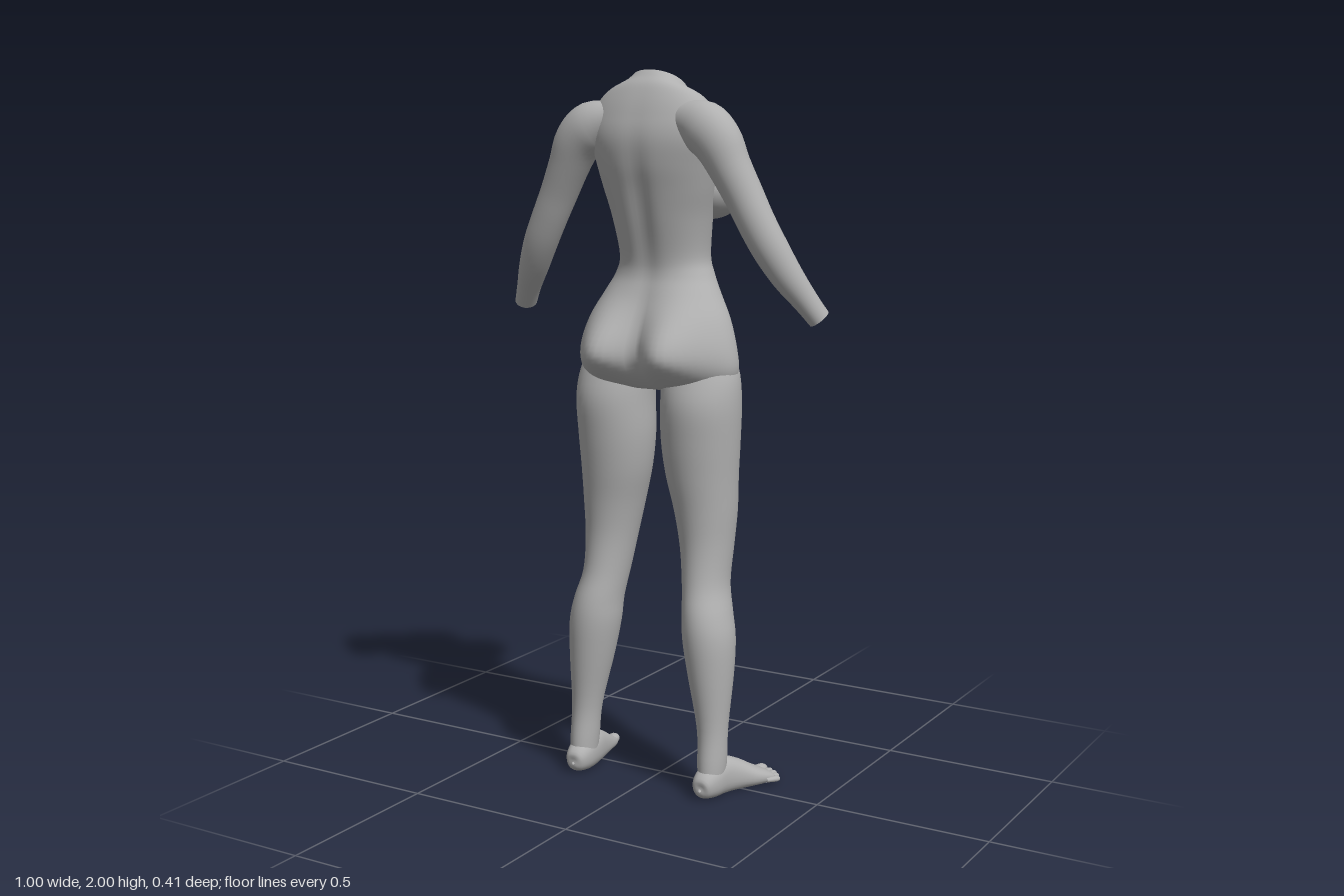
import * as THREE from 'three';

const skin = new THREE.MeshStandardMaterial({ color: 0xb0b0b0, side: THREE.DoubleSide });
skin.name = 'plain grey';

// Smooth interpolation through rows of numbers
function smoothRows(rows, steps) {
  const out = [];
  const at = i => rows[Math.max(0, Math.min(rows.length - 1, i))];
  for (let i = 0; i < rows.length - 1; i++) {
    for (let k = 0; k < steps; k++) {
      const t = k / steps;
      out.push(rows[i].map((_, c) => {
        const p = at(i - 1)[c], a = at(i)[c], b = at(i + 1)[c], q = at(i + 2)[c];
        return a + 0.5 * t * (b - p + t * (2 * p - 5 * a + 4 * b - q + t * (3 * (a - b) + q - p)));
      }));
    }
  }
  out.push(rows[rows.length - 1]);
  return out;
}

// Rows are [x, y, z, radiusU, radiusV]; rings stand across the path
function loft(name, rows, { ref = [0, 0, 1], axis, power = 2, sides = 32, steps = 4, cap = false, warp } = {}) {
  const rings = smoothRows(rows, steps);
  const centre = rings.map(r => new THREE.Vector3(r[0], r[1], r[2]));
  const up = new THREE.Vector3(...ref);
  const pos = [], index = [];
  const bend = v => Math.sign(v) * Math.abs(v) ** (2 / power);
  rings.forEach((r, i) => {
    const T = axis ? new THREE.Vector3(...axis)
      : centre[Math.min(i + 1, rings.length - 1)].clone().sub(centre[Math.max(i - 1, 0)]).normalize();
    const U = T.clone().cross(up).normalize();
    const V = U.clone().cross(T);
    for (let j = 0; j < sides; j++) {
      const a = (j / sides) * Math.PI * 2;
      const p = centre[i].clone()
        .addScaledVector(U, r[3] * bend(Math.cos(a)))
        .addScaledVector(V, r[4] * bend(Math.sin(a)));
      if (warp) warp(p);
      pos.push(p.x, p.y, p.z);
      if (i < rings.length - 1) {
        const n = i * sides + (j + 1) % sides, m = i * sides + j;
        index.push(m, m + sides, n, n, m + sides, n + sides);
      }
    }
  });
  if (cap) {
    const e = (rings.length - 1) * sides;
    const c = centre[centre.length - 1].clone();
    if (warp) warp(c);
    pos.push(c.x, c.y, c.z);
    for (let j = 0; j < sides; j++) index.push(e + j, pos.length / 3 - 1, e + (j + 1) % sides);
  }
  const g = new THREE.BufferGeometry();
  g.setAttribute('position', new THREE.Float32BufferAttribute(pos, 3));
  g.setIndex(index);
  g.computeVertexNormals();
  return named(name, g);
}

function named(name, geometry) {
  const m = new THREE.Mesh(geometry, skin);
  m.name = name;
  return m;
}

const bell = (v, width) => Math.exp(-0.5 * (v / width) ** 2);

// Torso: height, half width, back z, front z
function torso() {
  const rows = [
    [1.965, 0.076, 0.07, -0.055], [1.945, 0.095, 0.085, -0.05], [1.92, 0.15, 0.11, -0.045],
    [1.88, 0.185, 0.135, -0.05], [1.82, 0.19, 0.148, -0.065], [1.75, 0.175, 0.143, -0.085],
    [1.68, 0.16, 0.128, -0.1], [1.6, 0.142, 0.11, -0.12], [1.5, 0.13, 0.085, -0.125],
    [1.45, 0.145, 0.08, -0.12], [1.4, 0.173, 0.09, -0.108], [1.33, 0.212, 0.105, -0.098],
    [1.25, 0.238, 0.115, -0.09], [1.19, 0.242, 0.11, -0.088], [1.155, 0.215, 0.09, -0.075],
    [1.135, 0.12, 0.06, -0.05], [1.13, 0.01, 0.01, 0],
  ].map(([y, w, b, f]) => [0, y, (b + f) / 2, w, (b - f) / 2]);
  return loft('torso', rows, {
    axis: [0, -1, 0], power: 2.15, sides: 72, steps: 5, cap: true,
    warp(p) {
      const back = THREE.MathUtils.smoothstep(p.z, -0.02, 0.08);
      // rounded seat with a central cleft, and the groove of the spine
      const y = p.y, dy = y - 1.235;
      const seat = 0.1 * bell(Math.abs(p.x) - 0.105, 0.065) * bell(dy, dy > 0 ? 0.085 : 0.055);
      const spine = 0.012 * bell(p.x, 0.022) * bell(y - 1.62, 0.13);
      // neck edge slopes down to the front
      p.y += (p.z - 0.0075) * 0.56 * THREE.MathUtils.smoothstep(y, 1.87, 1.965);
      p.z += back * (seat - spine);
    },
  });
}

// Chest form: a sphere drawn out upward into the collar
function breast(s) {
  const g = new THREE.SphereGeometry(1, 40, 30);
  const p = g.attributes.position;
  for (let i = 0; i < p.count; i++) {
    const t = Math.max(0, p.getY(i));
    p.setXYZ(i,
      s * 0.1 + p.getX(i) * 0.09 * (1 - 0.3 * t),
      1.685 + p.getY(i) * (t > 0 ? 0.165 : 0.088),
      -0.1 + p.getZ(i) * 0.106 * (1 - 0.7 * t * t));
  }
  g.computeVertexNormals();
  return named('breast', g);
}

function arm(s) {
  return loft('arm', [
    [0.1, 1.872, 0.07, 0.045, 0.045], [0.17, 1.85, 0.076, 0.07, 0.064], [0.218, 1.81, 0.08, 0.068, 0.062],
    [0.253, 1.745, 0.075, 0.058, 0.057], [0.292, 1.67, 0.067, 0.053, 0.053], [0.328, 1.6, 0.063, 0.051, 0.049],
    [0.366, 1.53, 0.053, 0.049, 0.047], [0.405, 1.46, 0.032, 0.043, 0.043], [0.445, 1.395, 0.002, 0.034, 0.036],
    [0.473, 1.348, -0.022, 0.03, 0.034],
  ].map(([x, ...r]) => [s * x, ...r]));
}

function leg(s) {
  return loft('leg', [
    [0.122, 1.25, 0, 0.095, 0.08], [0.133, 1.18, 0.012, 0.11, 0.1], [0.138, 1.1, 0.02, 0.112, 0.114],
    [0.136, 1, 0.0175, 0.11, 0.112], [0.139, 0.9, 0.014, 0.101, 0.104], [0.149, 0.8, 0.01, 0.087, 0.095],
    [0.156, 0.7, 0.015, 0.073, 0.085], [0.163, 0.6, 0.031, 0.064, 0.08], [0.178, 0.52, 0.05, 0.068, 0.083],
    [0.187, 0.45, 0.057, 0.072, 0.083], [0.196, 0.35, 0.062, 0.063, 0.072], [0.208, 0.2, 0.072, 0.043, 0.049],
    [0.212, 0.1, 0.08, 0.039, 0.05], [0.212, 0.04, 0.085, 0.034, 0.048],
  ].map(([x, ...r]) => [s * x, ...r]), { axis: [0, -1, 0], sides: 36 });
}

function foot(s) {
  const group = new THREE.Group();
  group.name = 'foot';
  const floor = p => { p.y = Math.max(p.y, 0.004); };
  const up = [0, 1, 0];
  group.add(loft('sole and instep', [
    [0.21, 0.035, 0.147, 0.004, 0.004], [0.21, 0.036, 0.14, 0.026, 0.028], [0.212, 0.046, 0.105, 0.038, 0.046],
    [0.218, 0.052, 0.05, 0.04, 0.054], [0.234, 0.044, 0, 0.045, 0.046], [0.255, 0.031, -0.05, 0.054, 0.031],
    [0.268, 0.022, -0.088, 0.054, 0.021], [0.273, 0.018, -0.108, 0.046, 0.012], [0.274, 0.017, -0.112, 0.01, 0.004],
  ].map(([x, ...r]) => [s * x, ...r]), { ref: up, power: 2.3, cap: true, warp: floor }));

  // Toes: base x, base z, tip x, tip z, radius
  const toes = [
    [0.241, -0.085, 0.257, -0.158, 0.018], [0.27, -0.085, 0.281, -0.15, 0.011],
    [0.288, -0.08, 0.301, -0.138, 0.0105], [0.302, -0.07, 0.317, -0.122, 0.01],
    [0.312, -0.055, 0.331, -0.102, 0.01],
  ];
  for (const [x0, z0, x1, z1, r] of toes) {
    const rows = [[0, 0.8], [0.45, 0.92], [0.75, 1], [0.93, 0.7], [1, 0.06]].map(([t, k]) => [
      s * THREE.MathUtils.lerp(x0, x1, t), 0.02 - 0.005 * t, THREE.MathUtils.lerp(z0, z1, t), r * k, r * k * 0.85,
    ]);
    group.add(loft('toe', rows, { ref: up, sides: 14, steps: 3, cap: true, warp: floor }));
  }
  return group;
}

export function createModel() {
  const body = new THREE.Group();
  body.name = 'body mannequin';
  body.add(torso());
  for (const s of [1, -1]) body.add(breast(s), arm(s), leg(s), foot(s));
  return body;
}
